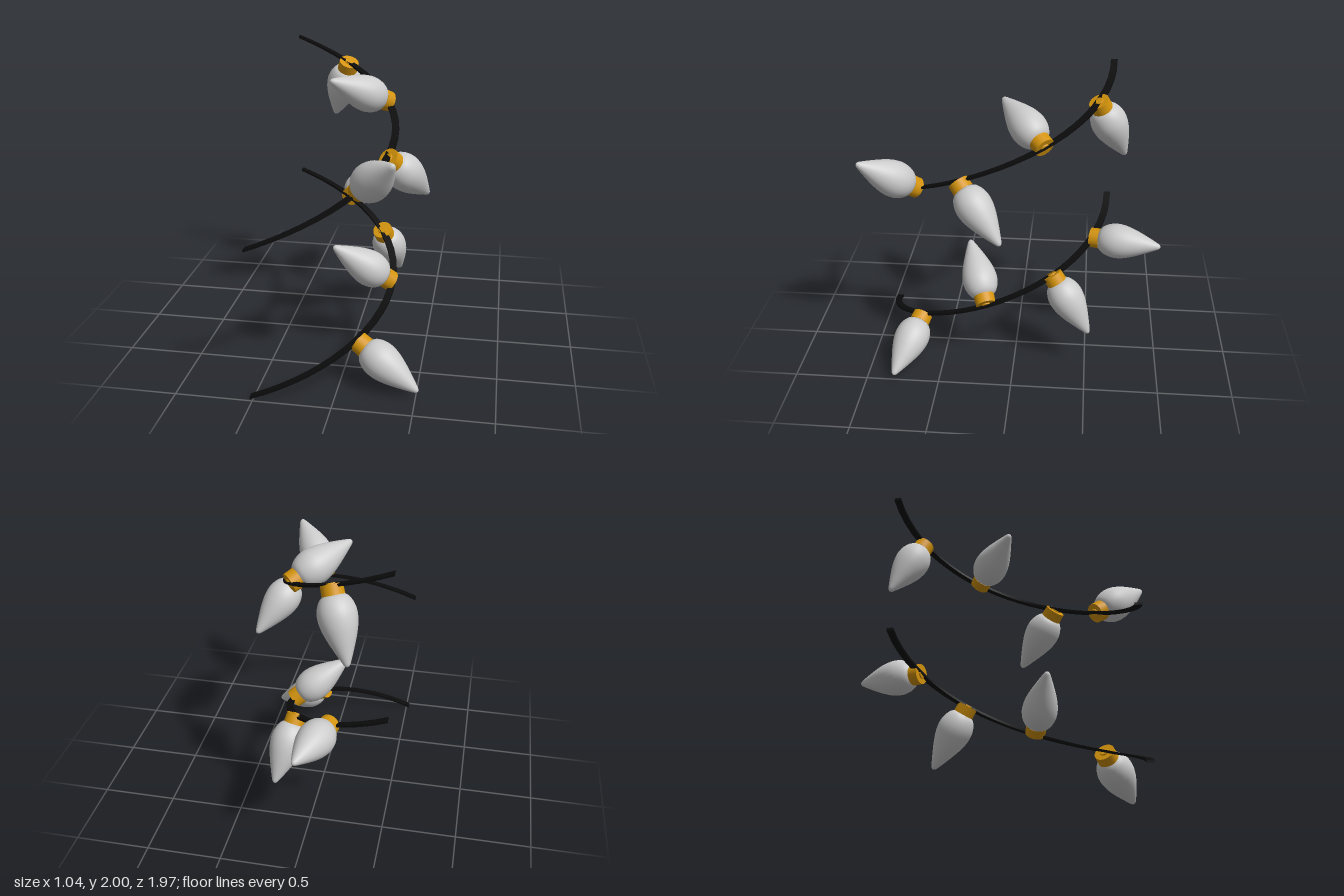
import * as THREE from 'three';

const R = 0.79, CX = -0.52, CZ = 0.172; // half-turn helix of each wire
const BULB_LENGTH = 0.49;

const wireMat = new THREE.MeshStandardMaterial({ color: 0x0c0c0c });
const goldMat = new THREE.MeshStandardMaterial({ color: 0xd4940c });
const glassMat = new THREE.MeshStandardMaterial({ color: 0xcccccc });

// Point on the wire; t runs 0 (front end) to 1 (back end)
function helix(t, base, dr = 0, dy = 0) {
  const a = t * Math.PI;
  return new THREE.Vector3(
    CX + (R + dr) * Math.sin(a),
    base + 0.008 + t * 0.984 + dy,
    CZ + (R + dr) * Math.cos(a)
  );
}

// Flat strip bent into a rising half turn
function makeWire(base) {
  const geo = new THREE.BoxGeometry(1, 0.016, 0.046, 28, 1, 1);
  const pos = geo.attributes.position;
  for (let i = 0; i < pos.count; i++) {
    const p = helix(pos.getX(i) + 0.5, base, pos.getZ(i), pos.getY(i));
    pos.setXYZ(i, p.x, p.y, p.z);
  }
  geo.computeVertexNormals();
  const mesh = new THREE.Mesh(geo, wireMat);
  mesh.name = 'wire';
  return mesh;
}

// Teardrop profile, smoothed through a few points (radius, distance from wire)
const profile = new THREE.SplineCurve([
  [0.055, 0.055], [0.088, 0.08], [0.111, 0.125], [0.12, 0.18], [0.112, 0.245],
  [0.09, 0.315], [0.061, 0.385], [0.034, 0.445], [0.016, 0.48], [0, BULB_LENGTH]
].map(([x, y]) => new THREE.Vector2(x, y))).getPoints(36);
profile.forEach(p => { p.x = Math.max(p.x, 0); });
const glassGeo = new THREE.LatheGeometry(profile, 32);
const socketGeo = new THREE.CylinderGeometry(0.07, 0.068, 0.066, 32).translate(0, 0.03, 0);
const knobGeo = new THREE.CylinderGeometry(0.032, 0.028, 0.01, 24).translate(0, -0.006, 0);

// Bulb with socket, standing on the wire and pointing at its tip
function makeBulb(start, tip) {
  const bulb = new THREE.Group();
  bulb.name = 'bulb';
  const parts = [['glass', glassGeo, glassMat], ['socket', socketGeo, goldMat], ['socketKnob', knobGeo, goldMat]];
  for (const [name, geo, mat] of parts) {
    const mesh = new THREE.Mesh(geo, mat);
    mesh.name = name;
    bulb.add(mesh);
  }
  const dir = tip.clone().sub(start).normalize();
  bulb.quaternion.setFromUnitVectors(new THREE.Vector3(0, 1, 0), dir);
  bulb.position.copy(tip).addScaledVector(dir, -BULB_LENGTH);
  return bulb;
}

// Each strand: base height and bulbs as [place along the wire, tip position]
const strands = [
  { name: 'lowerStrand', base: 0, bulbs: [
    [0.29, [0.517, 0.05, 0.81]],
    [0.495, [-0.105, 0.79, 0.335]],
    [0.684, [0.245, 0.285, -0.52]],
    [0.838, [0, 0.855, -0.985]]
  ] },
  { name: 'upperStrand', base: 1, bulbs: [
    [0.295, [0.362, 1.575, 0.97]],
    [0.425, [0.487, 1.1, 0.062]],
    [0.652, [-0.16, 1.84, 0.1]],
    [0.842, [-0.28, 1.41, -0.72]]
  ] }
];

export function createModel() {
  const model = new THREE.Group();
  model.name = 'stringLights';
  for (const { name, base, bulbs } of strands) {
    const strand = new THREE.Group();
    strand.name = name;
    strand.add(makeWire(base));
    for (const [t, tip] of bulbs) {
      strand.add(makeBulb(helix(t, base), new THREE.Vector3(...tip)));
    }
    model.add(strand);
  }
  return model;
}
